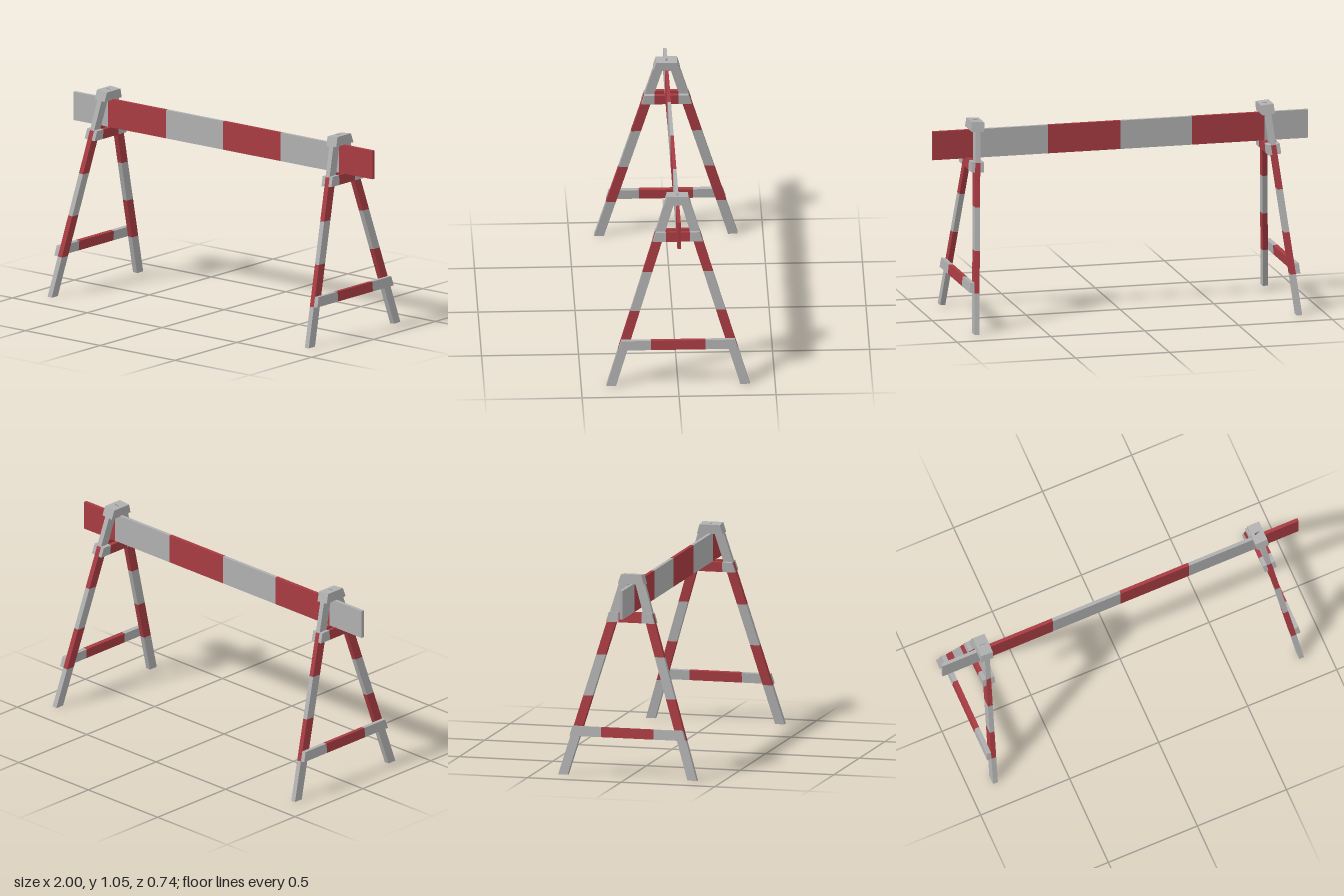
import * as THREE from 'three';

export function createModel() {
  const grey = new THREE.MeshStandardMaterial({ color: 0xb0b0b0 });
  grey.name = 'grey';
  const red = new THREE.MeshStandardMaterial({ color: 0xa83c42 });
  red.name = 'red';

  const HALF_LEG = 0.0135, PLATE = 0.0335, LEAN = 0.085;
  // Slanted edges of the A-frame
  const outer = (y) => 0.37 - 0.3 * y;
  const inner = (y) => outer(y) - 0.05;

  // Flat piece from y0 to y1 between two edge rules, thick from x0 to x1
  function panel(parent, name, material, y0, y1, edgeA, edgeB, x0, x1) {
    const shape = new THREE.Shape([
      new THREE.Vector2(edgeA(y0), y0),
      new THREE.Vector2(edgeB(y0), y0),
      new THREE.Vector2(edgeB(y1), y1),
      new THREE.Vector2(edgeA(y1), y1),
    ]);
    const geometry = new THREE.ExtrudeGeometry(shape, { depth: x1 - x0, bevelEnabled: false });
    geometry.rotateY(Math.PI / 2).translate(x0, 0, 0);
    const mesh = new THREE.Mesh(geometry, material);
    mesh.name = name;
    parent.add(mesh);
  }

  // Cross piece with a red middle and slanted grey ends
  function stripedRail(parent, name, y0, y1, halfRed, x0, x1) {
    panel(parent, name + 'Middle', red, y0, y1, () => -halfRed, () => halfRed, x0, x1);
    for (const s of [-1, 1]) {
      panel(parent, name + 'End', grey, y0, y1, () => s * halfRed, (y) => s * outer(y), x0, x1);
    }
  }

  function trestle(name) {
    const frame = new THREE.Group();
    frame.name = 'frame';

    // Two striped legs
    const bands = [0, 0.205, 0.415, 0.63, 0.85, 1.052];
    for (const s of [-1, 1]) {
      for (let i = 0; i < 5; i++) {
        panel(frame, 'leg', i % 2 ? red : grey, bands[i], bands[i + 1],
          (y) => s * inner(y), (y) => s * outer(y), -HALF_LEG, HALF_LEG);
      }
    }

    // Head plates and board supports on both faces of the legs
    for (const [x0, x1] of [[-PLATE, -HALF_LEG], [HALF_LEG, PLATE]]) {
      panel(frame, 'headPlate', grey, 1.003, 1.052, (y) => -outer(y), outer, x0, x1);
      stripedRail(frame, 'boardSupport', 0.803, 0.854, 0.062, x0, x1);
    }

    // Low brace on the outer face
    stripedRail(frame, 'lowBrace', 0.205, 0.256, 0.14, HALF_LEG, 0.0375);

    // Lean the top inward
    frame.rotation.z = LEAN;
    frame.position.set(0.86, 0.0012, 0);
    const group = new THREE.Group();
    group.name = name;
    group.add(frame);
    return group;
  }

  const model = new THREE.Group();
  model.name = 'roadBarrier';

  const left = trestle('leftTrestle');
  const right = trestle('rightTrestle');
  right.rotation.y = Math.PI;
  model.add(left, right);

  // Striped barrier board
  const board = new THREE.Group();
  board.name = 'board';
  const stops = [-1, -0.768, -0.38, 0, 0.385, 0.775, 1];
  for (let i = 0; i < 6; i++) {
    const width = stops[i + 1] - stops[i];
    const mesh = new THREE.Mesh(new THREE.BoxGeometry(width, 0.15, 0.018), i % 2 ? red : grey);
    mesh.position.set(stops[i] + width / 2, 0.926, 0);
    mesh.name = 'boardStripe';
    board.add(mesh);
  }
  model.add(board);
  return model;
}
